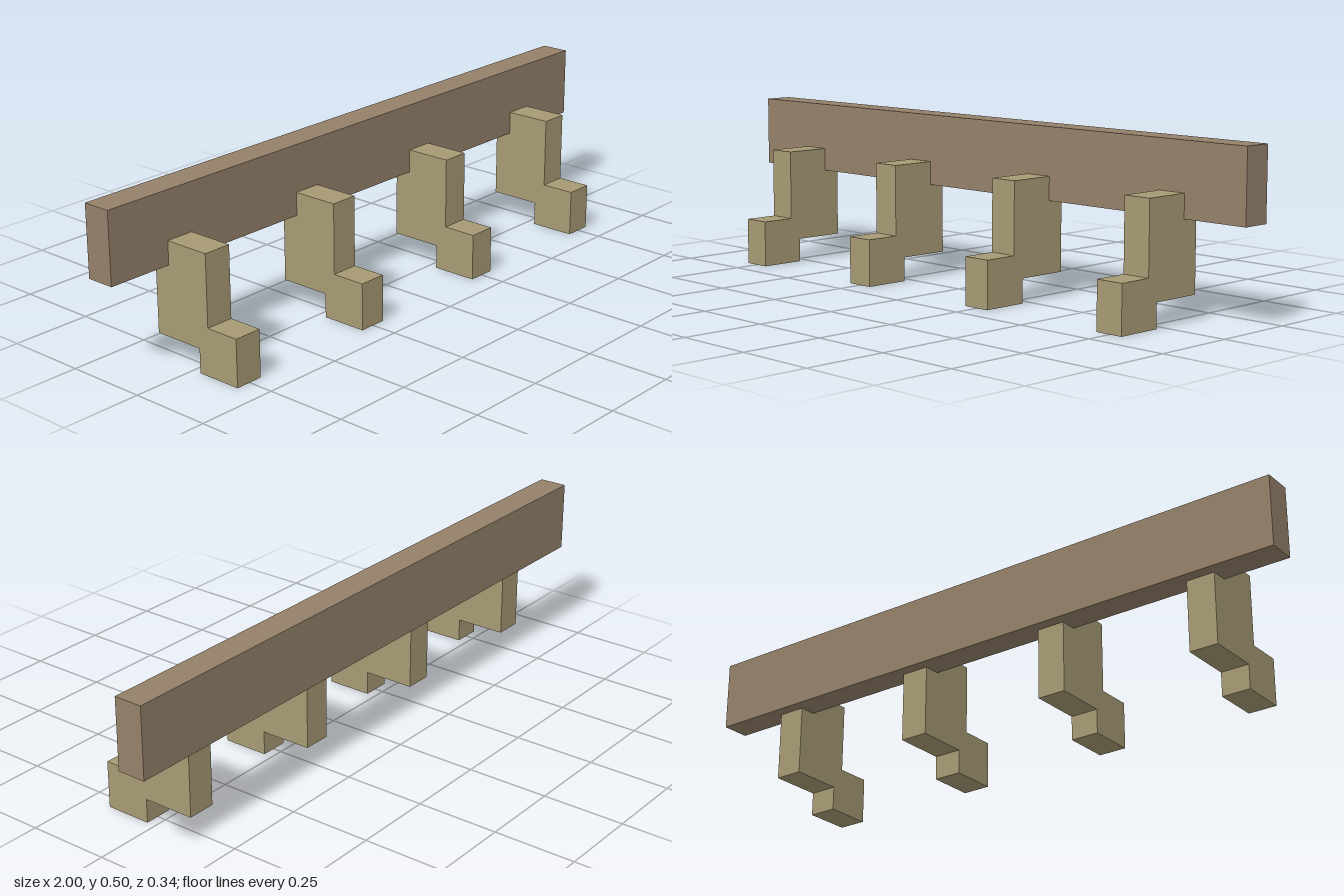
import * as THREE from 'three';

export function createModel() {
  const model = new THREE.Group();
  model.name = 'wallHookRail';

  const railWood = new THREE.MeshStandardMaterial({ color: 0x94816a });
  railWood.name = 'brown rail wood';
  const hookWood = new THREE.MeshStandardMaterial({ color: 0xa79a74 });
  hookWood.name = 'olive hook wood';

  // Long back rail
  const rail = new THREE.Mesh(new THREE.BoxGeometry(2, 0.215, 0.088), railWood);
  rail.name = 'rail';
  rail.position.set(0, 0.3945, -0.125);
  model.add(rail);

  // Stepped hook profile as (z, y) points, extruded across the hook's width
  const width = 0.088;
  const profile = new THREE.Shape([
    [0.17, 0], [0.17, 0.143], [0.063, 0.143], [0.063, 0.358],
    [-0.133, 0.358], [-0.133, 0.073], [0.028, 0.073], [0.028, 0],
  ].map(([z, y]) => new THREE.Vector2(z, y)));
  const hookGeometry = new THREE.ExtrudeGeometry(profile, { depth: width, bevelEnabled: false });
  hookGeometry.rotateY(-Math.PI / 2).translate(width / 2, 0, 0);

  // Four evenly spaced hooks
  for (let i = 0; i < 4; i++) {
    const hook = new THREE.Mesh(hookGeometry, hookWood);
    hook.name = `hook${i + 1}`;
    hook.position.x = -0.752 + i * 0.5;
    model.add(hook);
  }

  return model;
}
